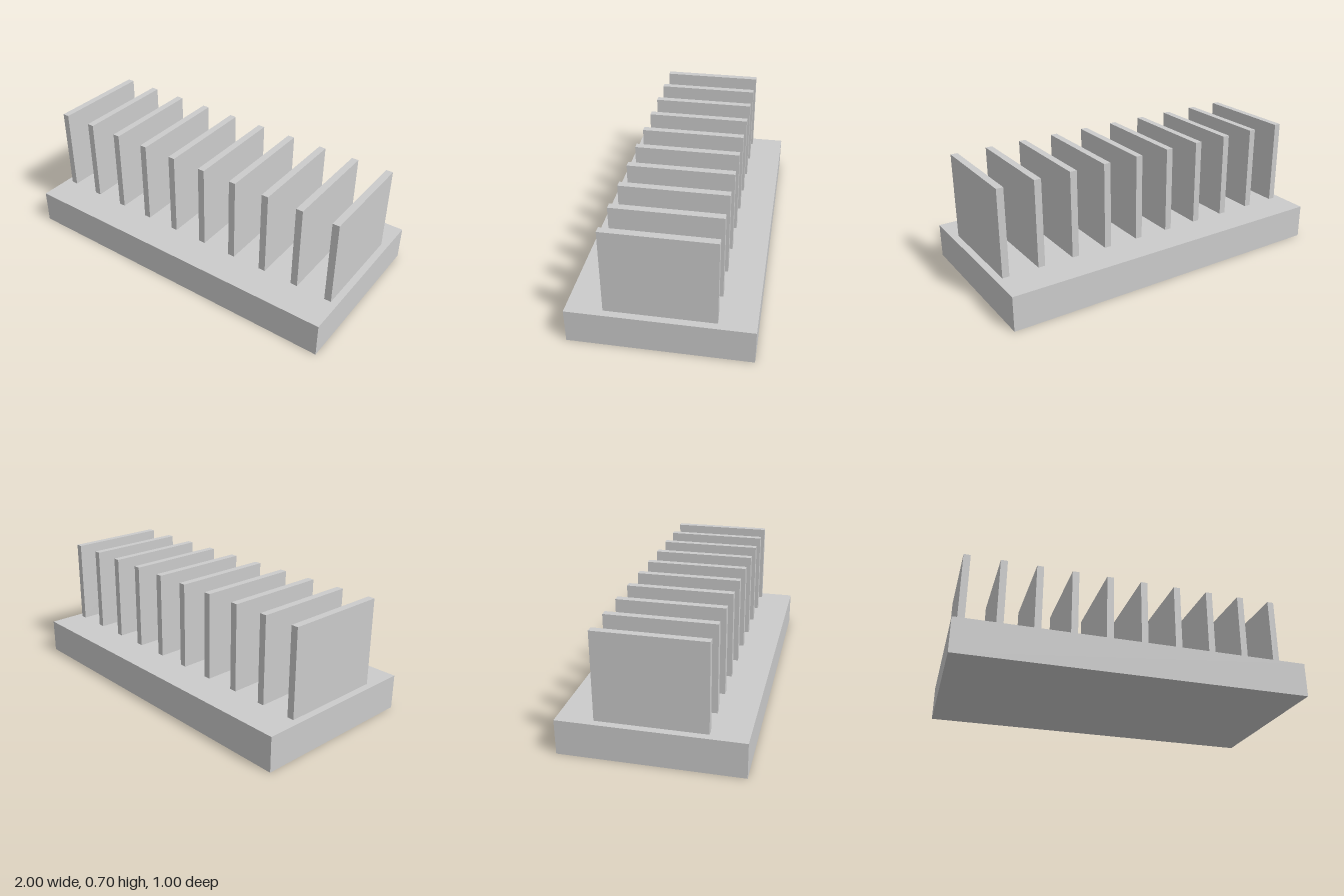
import * as THREE from 'three';

const FIN_COUNT = 10;
const FIN_REACH = 0.94; // x of the outermost fin centres

export function createModel() {
  const group = new THREE.Group();
  group.name = 'finnedHeatSink';
  const material = new THREE.MeshStandardMaterial({ color: 0xcccccc, flatShading: true });

  // Base plate
  const base = new THREE.Mesh(new THREE.BoxGeometry(2, 0.2, 1), material);
  base.name = 'basePlate';
  base.position.y = 0.1;
  group.add(base);

  // Row of upright fins, evenly spaced along x
  const fins = new THREE.Group();
  fins.name = 'fins';
  const finGeometry = new THREE.BoxGeometry(0.04, 0.5, 0.6);
  for (let i = 0; i < FIN_COUNT; i++) {
    const fin = new THREE.Mesh(finGeometry, material);
    fin.name = `fin${i + 1}`;
    fin.position.set(FIN_REACH * ((2 * i) / (FIN_COUNT - 1) - 1), 0.45, 0);
    fins.add(fin);
  }
  group.add(fins);

  return group;
}
